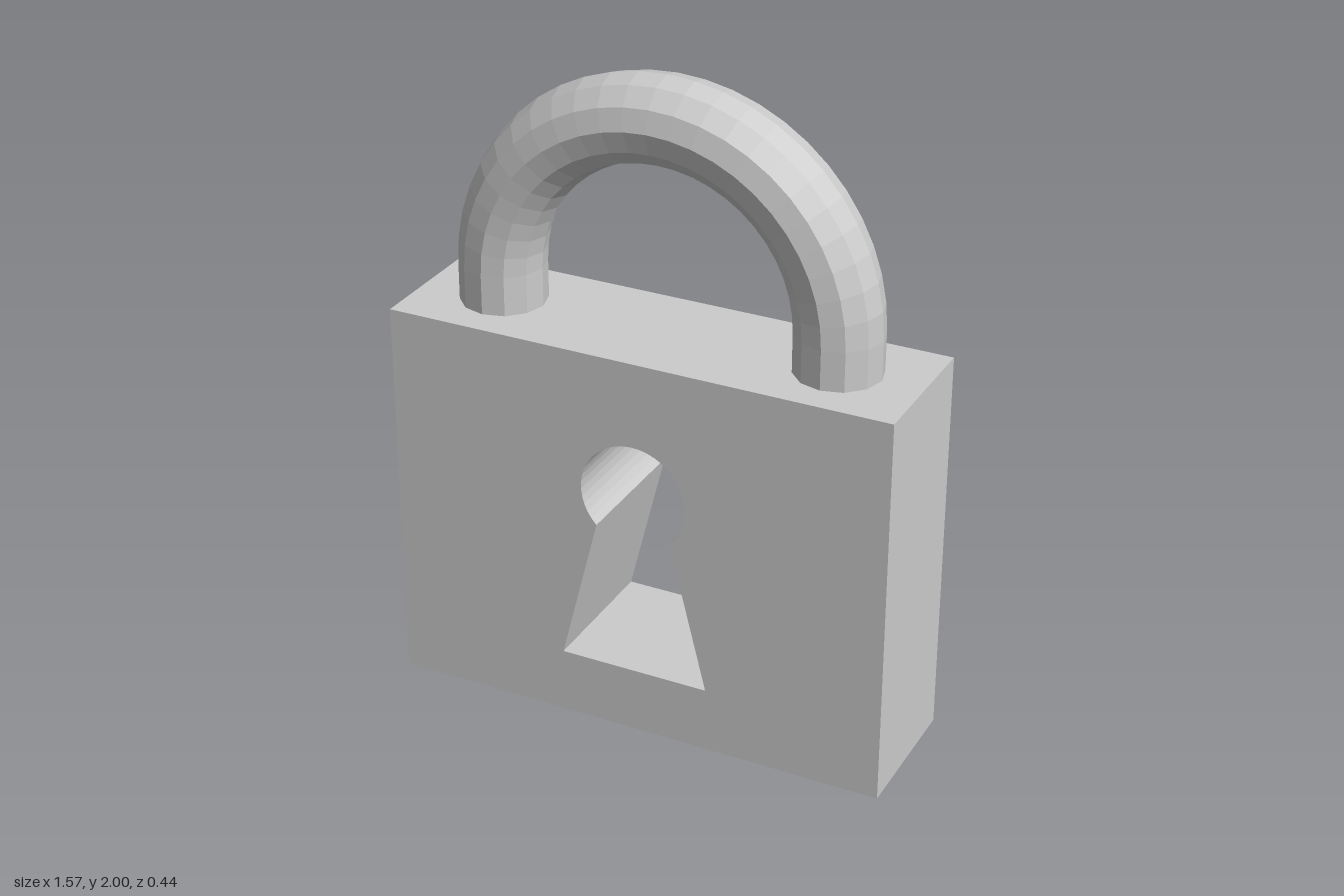
import * as THREE from 'three';

const material = new THREE.MeshStandardMaterial({ color: 0xcccccc, flatShading: true });

const BODY = { halfWidth: 0.785, height: 1.22, depth: 0.44 };
const SHACKLE = { radius: 0.53, tube: 0.13, centreY: 1.34, sides: 12, segments: 24 };

function part(name, geometry, x = 0, y = 0, z = 0) {
  const mesh = new THREE.Mesh(geometry, material);
  mesh.name = name;
  mesh.position.set(x, y, z);
  return mesh;
}

// Rectangular slab with a keyhole cut right through it
function bodyGeometry() {
  const { halfWidth: w, height: h, depth } = BODY;
  const slab = new THREE.Shape([
    new THREE.Vector2(-w, 0), new THREE.Vector2(w, 0),
    new THREE.Vector2(w, h), new THREE.Vector2(-w, h),
  ]);

  // Round top of the keyhole, flaring out to a wide foot
  const start = -Math.PI / 4;
  const keyhole = new THREE.Path();
  keyhole.moveTo(-0.235, 0.205);
  keyhole.lineTo(0.235, 0.205);
  keyhole.absarc(0, 0.79, 0.166, start, Math.PI - start, false);
  keyhole.closePath();
  slab.holes.push(keyhole);

  const geometry = new THREE.ExtrudeGeometry(slab, { depth, bevelEnabled: false, curveSegments: 16 });
  return geometry.translate(0, 0, -depth / 2);
}

export function createModel() {
  const model = new THREE.Group();
  model.name = 'padlock';
  model.add(part('body', bodyGeometry()));

  // Half-ring shackle with two short straight legs
  const { radius, tube, centreY, sides, segments } = SHACKLE;
  const shackle = new THREE.Group();
  shackle.name = 'shackle';
  shackle.add(part('shackleArch', new THREE.TorusGeometry(radius, tube, sides, segments, Math.PI), 0, centreY));

  const legHeight = centreY - BODY.height;
  for (const [name, side] of [['leftShackleLeg', 1], ['rightShackleLeg', -1]]) {
    const leg = new THREE.CylinderGeometry(tube, tube, legHeight, sides, 1, true);
    shackle.add(part(name, leg, side * radius, BODY.height + legHeight / 2));
  }
  model.add(shackle);
  return model;
}
